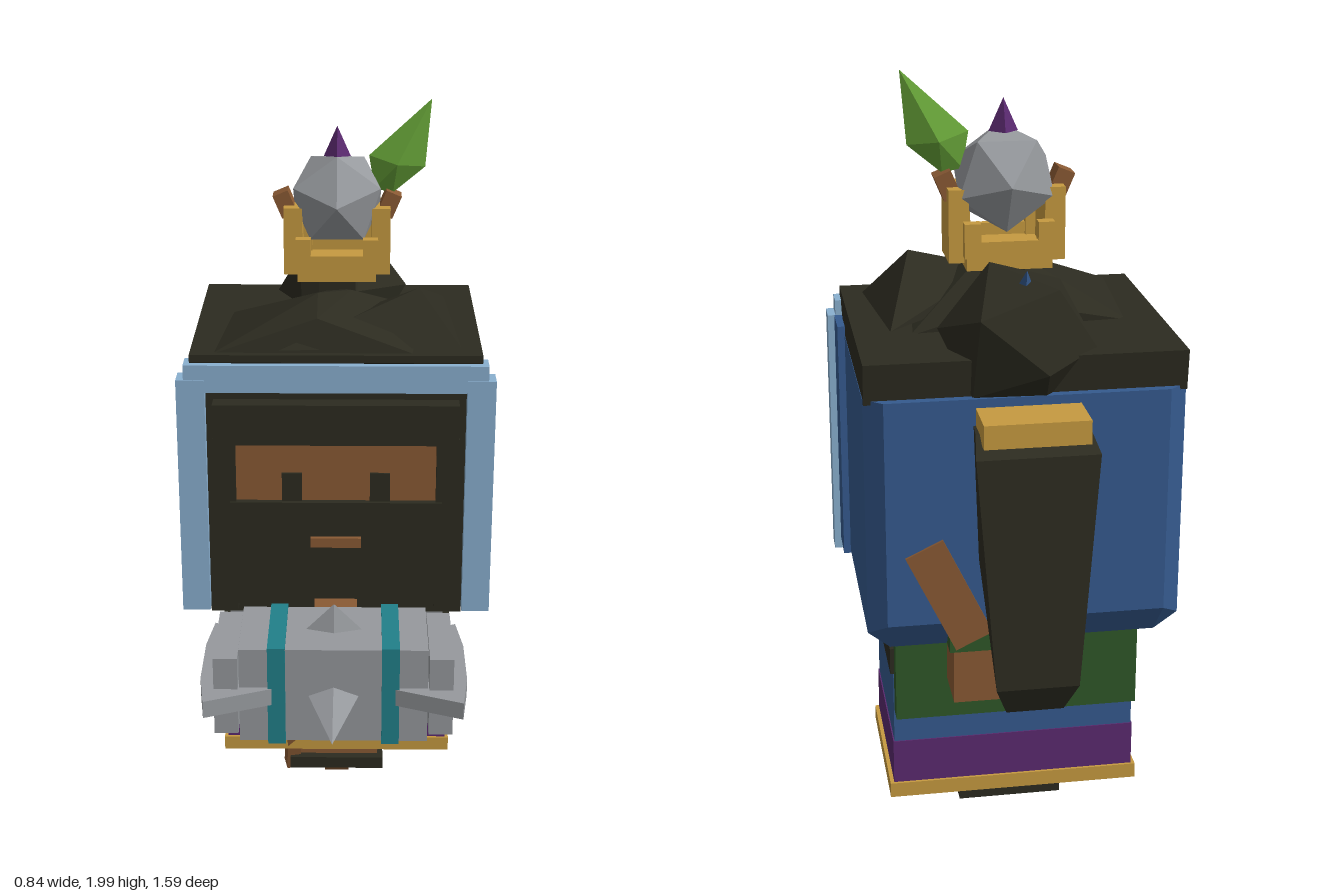
import * as THREE from 'three';
import { ConvexGeometry } from 'three/addons/geometries/ConvexGeometry.js';

const colours = {
  hairBlack: 0x2c2b20, hoodBlue: 0x355a8e, trimBlue: 0x8ab0d0, gold: 0xc69a40, purple: 0x5b2a70,
  skinBrown: 0x8a5a34, steel: 0x96999d, teal: 0x21808a, leafGreen: 0x66a238, capeGreen: 0x2f5728,
};

export function createModel() {
  const root = new THREE.Group();
  root.name = 'figure';
  const mats = {};
  for (const [name, color] of Object.entries(colours)) {
    mats[name] = new THREE.MeshStandardMaterial({ color, flatShading: true });
    mats[name].name = name;
  }

  const add = (name, geo, mat) => {
    const mesh = new THREE.Mesh(geo, mats[mat]);
    mesh.name = name;
    root.add(mesh);
    return mesh;
  };
  // box given by its extents
  const box = (name, mat, x0, x1, y0, y1, z0, z1) => {
    const m = add(name, new THREE.BoxGeometry(x1 - x0, y1 - y0, z1 - z0), mat);
    m.position.set((x0 + x1) / 2, (y0 + y1) / 2, (z0 + z1) / 2);
    return m;
  };
  // faceted solid around a few corner points
  const hull = (name, mat, pts) =>
    add(name, new ConvexGeometry(pts.map(p => new THREE.Vector3(...p))), mat);
  // mirrored corner pairs
  const sym = pts => pts.flatMap(([x, y, z]) => [[x, y, z], [-x, y, z]]);
  // square bar between two points
  const bar = (name, mat, a, b, w, d) => {
    const A = new THREE.Vector3(...a), B = new THREE.Vector3(...b);
    const m = add(name, new THREE.BoxGeometry(w, A.distanceTo(B), d), mat);
    m.position.copy(A).add(B).multiplyScalar(0.5);
    m.quaternion.setFromUnitVectors(new THREE.Vector3(0, 1, 0), B.clone().sub(A).normalize());
    return m;
  };

  // Robe and feet
  box('foot', 'hairBlack', -0.135, 0.135, 0.085, 0.12, -0.40, -0.055);
  box('leg', 'skinBrown', -0.12, 0.12, 0.12, 0.15, -0.40, -0.08);
  box('robeHem', 'gold', -0.325, 0.325, 0.15, 0.19, -0.467, -0.052);
  box('robeStripe', 'purple', -0.315, 0.315, 0.19, 0.31, -0.46, -0.06);
  box('robe', 'hoodBlue', -0.312, 0.312, 0.31, 0.51, -0.457, -0.062);
  box('belt', 'hairBlack', -0.32, 0.32, 0.51, 0.58, -0.465, -0.05);
  box('chest', 'steel', -0.30, 0.30, 0.58, 0.67, -0.45, -0.06);
  box('cape', 'capeGreen', -0.31, 0.31, 0.40, 0.65, -0.505, -0.455);

  // Tabard and robe ornaments
  box('tabardTrim', 'gold', -0.135, 0.135, 0.20, 0.55, -0.062, -0.05);
  box('tabard', 'teal', -0.105, 0.11, 0.245, 0.58, -0.052, -0.04);
  for (const s of [-1, 1]) {
    box('robeClasp', 'gold', Math.min(s * 0.2, s * 0.31), Math.max(s * 0.2, s * 0.31), 0.33, 0.365, -0.064, -0.054);
    bar('robeBlade', 'steel', [s * 0.28, 0.39, -0.05], [s * 0.14, 0.31, -0.05], 0.04, 0.03);
  }
  bar('sideStick', 'gold', [-0.125, 0.55, -0.03], [-0.125, 0.20, -0.05], 0.03, 0.03);
  bar('sideStickEnd', 'skinBrown', [-0.125, 0.22, -0.06], [-0.13, 0.075, -0.10], 0.04, 0.04);

  // Hands: one in front, one behind the back
  box('frontHand', 'skinBrown', -0.26, -0.15, 0.43, 0.55, -0.06, 0.03);
  box('backHand', 'skinBrown', 0.04, 0.18, 0.51, 0.65, -0.635, -0.50);
  box('backCuff', 'capeGreen', 0.06, 0.19, 0.65, 0.70, -0.64, -0.47);
  bar('backArm', 'skinBrown', [0.13, 0.68, -0.60], [0.25, 0.93, -0.60], 0.10, 0.09);

  // Hood with bevelled back and underside
  hull('hood', 'hoodBlue', sym([
    [0.385, 0.70, -0.03], [0.385, 1.30, -0.03], [0.385, 0.70, -0.60], [0.385, 1.30, -0.60],
    [0.34, 0.73, -0.638], [0.34, 1.30, -0.638], [0.33, 0.65, -0.05], [0.33, 0.65, -0.585],
  ]));
  box('hoodFront', 'hoodBlue', -0.403, 0.403, 0.69, 1.325, -0.105, 0.0);
  box('hoodTrimTop', 'trimBlue', -0.40, 0.40, 1.29, 1.365, 0, 0.062);
  for (const s of [-1, 1])
    box('hoodTrimSide', 'trimBlue', Math.min(s * 0.345, s * 0.42), Math.max(s * 0.345, s * 0.42), 0.66, 1.325, 0, 0.066);

  // Face and beard
  box('faceHair', 'hairBlack', -0.345, 0.345, 0.64, 1.29, -0.06, 0.03);
  box('face', 'skinBrown', -0.275, 0.275, 0.95, 1.17, 0.0, 0.045);
  box('fringe', 'hairBlack', -0.325, 0.325, 1.15, 1.262, 0.0, 0.08);
  box('beard', 'hairBlack', -0.285, 0.285, 0.68, 0.98, 0.0, 0.065);
  box('beardTip', 'hairBlack', -0.24, 0.24, 0.60, 0.68, -0.06, 0.04);
  for (const s of [-1, 1]) {
    box('eye', 'hairBlack', s * 0.118 - 0.027, s * 0.118 + 0.027, 0.975, 1.06, 0.044, 0.052);
    box('sideburn', 'hairBlack', s * 0.298 - 0.03, s * 0.298 + 0.03, 0.66, 1.16, 0.0, 0.058);
  }
  box('mouth', 'skinBrown', -0.068, 0.068, 0.855, 0.882, 0.06, 0.08);

  // Hair on top
  hull('hairCap', 'hairBlack', sym([
    [0.384, 1.29, -0.10], [0.384, 1.37, 0.05], [0.384, 1.39, 0.05], [0.384, 1.29, -0.615],
    [0.384, 1.39, -0.625],
  ]));
  hull('hairWave', 'hairBlack', [
    [-0.33, 1.385, 0.03], [-0.30, 1.385, -0.35], [-0.17, 1.43, 0.0], [-0.05, 1.475, 0.0],
    [-0.05, 1.51, -0.12], [0.04, 1.51, -0.15], [0.0, 1.45, -0.38], [0.2, 1.39, 0.03], [0.25, 1.385, -0.4],
  ]);
  hull('hairTuft', 'hairBlack', [
    [-0.15, 1.40, 0.04], [0.22, 1.525, -0.12], [0.33, 1.39, -0.02], [0.30, 1.41, -0.44],
    [0.10, 1.45, -0.22], [0.05, 1.39, -0.05],
  ]);
  const bun = add('bun', new THREE.IcosahedronGeometry(0.19, 0), 'hairBlack');
  bun.position.set(0.01, 1.41, -0.53);
  bun.rotation.set(0.35, 0.4, 0.2);
  const pin = add('bunPin', new THREE.ConeGeometry(0.022, 0.06, 4), 'hoodBlue');
  pin.position.set(0, 1.565, -0.585);
  pin.rotation.x = -0.5;

  // Ponytail with its clasp
  box('ponytailClasp', 'gold', -0.125, 0.125, 1.22, 1.278, -0.76, -0.60);
  hull('ponytail', 'hairBlack', sym([
    [0.13, 1.235, -0.635], [0.145, 1.20, -0.775], [0.135, 1.235, -0.70], [0.12, 0.90, -0.65],
    [0.10, 0.62, -0.795], [0.07, 0.54, -0.755],
  ]));

  // Topknot ornament: gold cradle, faceted gem, leaf and spike
  const cz = -0.26;
  box('ornamentStem', 'hairBlack', -0.05, 0.05, 1.42, 1.54, cz - 0.035, cz + 0.035);
  box('cradleBase', 'gold', -0.105, 0.105, 1.53, 1.57, cz - 0.105, cz + 0.105);
  for (const s of [-1, 1]) {
    box('cradleArm', 'gold', s * 0.118 - 0.025, s * 0.118 + 0.025, 1.54, 1.72, cz - 0.065, cz + 0.065);
    box('cradleRail', 'gold', -0.10, 0.10, 1.57, 1.60, cz + s * 0.095 - 0.01, cz + s * 0.095 + 0.01);
    for (const t of [-1, 1])
      box('cradlePost', 'gold', s * 0.09 - 0.02, s * 0.09 + 0.02, 1.56, 1.645, cz + t * 0.09 - 0.016, cz + t * 0.09 + 0.016);
    const peg = box('cradlePeg', 'skinBrown', s * 0.14 - 0.022, s * 0.14 + 0.022, 1.69, 1.755, cz - 0.03, cz + 0.03);
    peg.rotation.z = -s * 0.4;
  }
  const gem = add('gem', new THREE.IcosahedronGeometry(0.137, 0), 'steel');
  gem.position.set(0, 1.735, cz);
  gem.rotation.x = Math.atan(0.618); // a corner points straight up
  gem.rotation.order = 'YXZ';
  gem.rotation.x = -Math.atan(1 / 1.618);
  const spike = add('gemSpike', new THREE.ConeGeometry(0.036, 0.08, 4), 'purple');
  spike.position.set(0, 1.888, cz);
  hull('leaf', 'leafGreen', [
    [0.10, 1.76, cz], [0.085, 1.85, cz], [0.25, 2.0, cz], [0.235, 1.82, cz], [0.15, 1.75, cz],
    [0.16, 1.83, cz + 0.033], [0.16, 1.83, cz - 0.033],
  ]);

  // Hammer handle, bent down the front of the robe
  box('hammerShaft', 'skinBrown', -0.058, 0.058, 0.64, 0.695, 0.05, 0.33);
  box('shaftRing', 'steel', -0.048, 0.048, 0.62, 0.72, 0.17, 0.225);
  const path = [[0, 0.67, 0.04], [0, 0.44, 0.0], [0, 0.24, -0.09], [0, 0.025, -0.205]];
  for (let i = 0; i < 3; i++) bar('hammerHandle', 'skinBrown', path[i], path[i + 1], 0.07, 0.075);

  // Hammer head
  box('hammerBlock', 'steel', -0.235, 0.235, 0.54, 0.795, 0.32, 0.56);
  for (const s of [-1, 1]) {
    box('hammerBand', 'teal', s * 0.142 - 0.022, s * 0.142 + 0.022, 0.535, 0.802, 0.315, 0.568);
    box('hammerFace', 'steel', s * 0.268 - 0.03, s * 0.268 + 0.03, 0.565, 0.775, 0.31, 0.57);
    hull('hammerBlade', 'steel', [0.645, 0.69].flatMap(y => [
      [s * 0.06, y, 0.33], [s * 0.32, y, 0.205], [s * 0.335, y, 0.33], [s * 0.335, y, 0.51],
      [s * 0.32, y, 0.635], [s * 0.06, y, 0.53],
    ]));
  }
  hull('topSpike', 'steel', [[0.075, 0.79, 0.445], [-0.075, 0.79, 0.445], [0, 0.79, 0.47], [0, 0.79, 0.42], [0, 0.865, 0.445]]);
  hull('frontSpike', 'steel', [[0.065, 0.667, 0.55], [-0.065, 0.667, 0.55], [0, 0.692, 0.55], [0, 0.642, 0.55], [0, 0.667, 0.795]]);

  return root;
}
